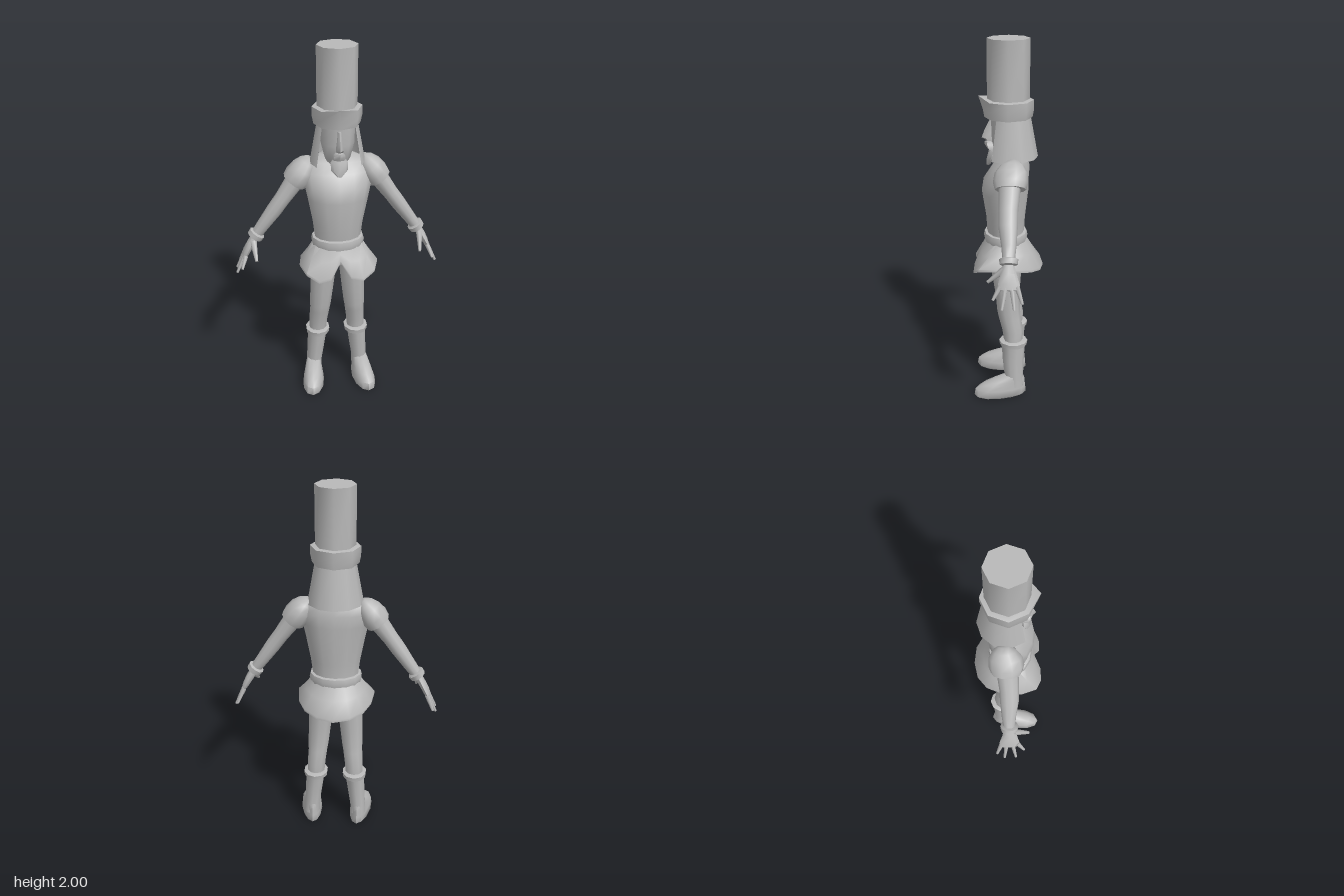
import * as THREE from 'three';
import { toCreasedNormals } from 'three/addons/utils/BufferGeometryUtils.js';

// Skin closed rings of [x, y, z] points, listed from bottom to top, with end caps
function skin(rings) {
  const n = rings[0].length, pos = rings.flat(2), idx = [];
  for (let r = 0; r < rings.length - 1; r++) {
    for (let i = 0; i < n; i++) {
      const a = r * n + i, b = r * n + (i + 1) % n;
      idx.push(a, b, b + n, a, b + n, a + n);
    }
  }
  [rings[0], rings[rings.length - 1]].forEach((ring, end) => {
    const c = pos.length / 3, base = end ? (rings.length - 1) * n : 0;
    for (let k = 0; k < 3; k++) pos.push(ring.reduce((s, p) => s + p[k], 0) / n);
    for (let i = 0; i < n; i++) {
      const a = base + i, b = base + (i + 1) % n;
      if (end) idx.push(c, a, b); else idx.push(c, b, a);
    }
  });
  const g = new THREE.BufferGeometry();
  g.setAttribute('position', new THREE.Float32BufferAttribute(pos, 3));
  g.setIndex(idx);
  return toCreasedNormals(g, 0.95);
}

// Elliptical rings [y, rx, rz, centreZ, centreX]; adjust may move single points
function loft(rings, n = 10, adjust = p => p) {
  return skin(rings.map(([y, rx, rz, cz = 0, cx = 0], r) =>
    Array.from({ length: n }, (_, i) => {
      const a = i / n * Math.PI * 2;
      return adjust([cx + Math.sin(a) * rx, y, cz + Math.cos(a) * rz], i, r);
    })));
}

export function createModel() {
  const model = new THREE.Group();
  model.name = 'guardsman';
  const clay = new THREE.MeshStandardMaterial({ color: 0xb8b8b8, side: THREE.DoubleSide });
  clay.name = 'light grey';

  const add = (name, geometry, parent = model) => {
    const m = new THREE.Mesh(geometry, clay);
    m.name = name;
    parent.add(m);
    return m;
  };
  // Tapered rod between two points
  const rod = (name, a, b, ra, rb, parent) => {
    const p = new THREE.Vector3(...a), q = new THREE.Vector3(...b), d = q.clone().sub(p);
    const m = add(name, new THREE.CylinderGeometry(rb, ra, d.length(), 6), parent);
    m.position.copy(p).add(q).multiplyScalar(0.5);
    m.quaternion.setFromUnitVectors(new THREE.Vector3(0, 1, 0), d.normalize());
  };

  // Tall hat with a peaked band
  add('hatCrown', loft([[1.62, 0.105, 0.11], [2, 0.105, 0.11]], 8));
  add('hatBand', loft([
    [1.6, 0.1, 0.1], [1.6, 0.122, 0.125], [1.64, 0.13, 0.132],
    [1.69, 0.13, 0.132], [1.695, 0.105, 0.108],
  ], 8, (p, i, r) => (i === 0 && r === 3 ? [0, 1.71, 0.155] : p)));

  // Head, face and hair
  add('head', loft([
    [1.35, 0.05, 0.05, -0.03], [1.39, 0.055, 0.065, -0.005], [1.42, 0.07, 0.085, 0],
    [1.5, 0.09, 0.092, 0], [1.62, 0.095, 0.092, 0],
  ]));
  add('nose', loft([
    [1.475, 0.02, 0.02, 0.095], [1.49, 0.02, 0.04, 0.1],
    [1.53, 0.014, 0.03, 0.095], [1.58, 0.01, 0.015, 0.085],
  ], 6));
  add('moustache', loft([
    [1.43, 0.036, 0.02, 0.09], [1.455, 0.034, 0.03, 0.095], [1.47, 0.018, 0.03, 0.095],
  ], 6));
  add('beard', loft([
    [1.343, 0.012, 0.01, 0.107], [1.375, 0.043, 0.02, 0.095],
    [1.415, 0.045, 0.025, 0.08], [1.435, 0.03, 0.02, 0.08],
  ], 8));
  const hair = new THREE.CylinderGeometry(0.105, 0.148, 0.23, 8, 1, true, 0.9, Math.PI * 2 - 1.8);
  add('hair', hair).position.set(0, 1.505, -0.008);

  // Jacket, waist and belt
  add('jacket', loft([
    [0.8, 0.1, 0.07], [0.86, 0.125, 0.09], [0.95, 0.125, 0.1, 0.015],
    [1.05, 0.137, 0.105, 0.015], [1.2, 0.165, 0.125, 0.018], [1.27, 0.18, 0.12, 0.012],
    [1.34, 0.19, 0.098, -0.015], [1.39, 0.165, 0.065, -0.03], [1.42, 0.09, 0.04, -0.045],
  ], 14));
  add('belt', loft([
    [0.915, 0.125, 0.1, 0.015], [0.92, 0.14, 0.115, 0.015], [0.945, 0.146, 0.12, 0.015],
    [0.967, 0.14, 0.115, 0.015], [0.972, 0.122, 0.1, 0.015],
  ], 14));

  // Flared skirt with a notch at the front; half the hem is given and mirrored
  const half = [
    [0, 0.86, 0.15], [0.055, 0.775, 0.185], [0.12, 0.76, 0.187], [0.185, 0.795, 0.155],
    [0.215, 0.81, 0.065], [0.2, 0.8, -0.045], [0.16, 0.785, -0.125],
    [0.09, 0.768, -0.175], [0, 0.757, -0.19],
  ];
  const hem = [...half, ...half.slice(1, -1).reverse().map(([x, y, z]) => [-x, y, z])];
  const waist = (y, k) => hem.map((_, i) => {
    const a = i / hem.length * Math.PI * 2;
    return [Math.sin(a) * 0.13 * k, y, 0.015 + Math.cos(a) * 0.105 * k];
  });
  const upper = waist(0.94, 1);
  const middle = hem.map((p, i) => p.map((v, k) => v * 0.47 + upper[i][k] * 0.53));
  const rim = hem.map(([x, y, z]) => [x, y + 0.014, z]);
  add('skirt', skin([waist(0.88, 0.9), hem, rim, middle, upper]));

  for (const s of [1, -1]) {
    const side = s > 0 ? 'left' : 'right';

    // Leg, boot and boot cuff
    const leg = new THREE.Group();
    leg.name = side + 'Leg';
    model.add(leg);
    const limb = (name, rings) =>
      add(name, loft(rings.map(([y, rx, rz, cz, cx]) => [y, rx, rz, cz, cx * s])), leg);
    limb(side + 'Trouser', [
      [0.32, 0.05, 0.05, -0.03, 0.112], [0.4, 0.053, 0.058, -0.027, 0.108],
      [0.48, 0.056, 0.062, -0.01, 0.1], [0.52, 0.06, 0.064, -0.004, 0.097],
      [0.62, 0.065, 0.066, 0.003, 0.09], [0.76, 0.071, 0.082, 0.01, 0.08],
      [0.87, 0.068, 0.085, 0.01, 0.072],
    ]);
    limb(side + 'BootCuff', [
      [0.308, 0.055, 0.06, -0.03, 0.112], [0.314, 0.067, 0.076, -0.03, 0.112],
      [0.34, 0.07, 0.08, -0.03, 0.112], [0.346, 0.053, 0.06, -0.03, 0.112],
    ]);
    limb(side + 'BootShaft', [
      [0.06, 0.046, 0.055, -0.036, 0.136], [0.12, 0.045, 0.053, -0.034, 0.134],
      [0.22, 0.05, 0.06, -0.03, 0.124], [0.32, 0.055, 0.066, -0.03, 0.115],
    ]);
    // Narrower at the heel than at the toe
    add(side + 'Foot', loft([
      [0, 0.055, 0.135, 0.047], [0.01, 0.064, 0.147, 0.045], [0.05, 0.06, 0.142, 0.042],
      [0.08, 0.054, 0.118, 0.022], [0.105, 0.049, 0.088, -0.006], [0.13, 0.042, 0.05, -0.035],
    ], 12, ([x, y, z]) => [s * 0.142 + x * (0.92 + z) + s * z * 0.12, y, z]), leg);

    // Arm built hanging straight down, then swung outwards
    const arm = new THREE.Group();
    arm.name = side + 'Arm';
    arm.position.set(0.2 * s, 1.32, -0.01);
    arm.rotation.z = 0.62 * s;
    model.add(arm);
    add(side + 'Sleeve', loft([
      [-0.42, 0.03, 0.03], [-0.34, 0.035, 0.038], [-0.24, 0.041, 0.049, 0.005],
      [-0.16, 0.042, 0.05, 0.005], [-0.05, 0.05, 0.056], [0.02, 0.055, 0.06],
    ]), arm);
    add(side + 'ShoulderPuff', loft([
      [-0.045, 0.05, 0.06, -0.005], [-0.048, 0.067, 0.08, -0.005], [-0.01, 0.072, 0.09, -0.005],
      [0.04, 0.064, 0.085, -0.008], [0.08, 0.046, 0.06, -0.012], [0.105, 0.02, 0.03, -0.015],
    ]), arm);
    add(side + 'WristCuff', loft([
      [-0.437, 0.03, 0.03], [-0.432, 0.043, 0.045], [-0.405, 0.045, 0.048], [-0.398, 0.028, 0.03],
    ]), arm);
    add(side + 'Palm', loft([
      [-0.56, 0.012, 0.05, -0.003, -0.014 * s], [-0.53, 0.018, 0.054, -0.002, -0.01 * s],
      [-0.48, 0.022, 0.04, 0, -0.004 * s], [-0.42, 0.022, 0.025],
    ], 8), arm);
    // Spread fingers: [root z, tip z, tip length]
    [[-0.042, -0.07, 0.625], [-0.016, -0.03, 0.655], [0.014, 0.032, 0.655], [0.04, 0.077, 0.605]]
      .forEach(([z0, z1, t], i) => rod(side + 'Finger' + (i + 1),
        [-0.012 * s, -0.54, z0], [-0.03 * s, -t, z1], 0.014, 0.007, arm));
    rod(side + 'Thumb', [-0.006 * s, -0.455, 0.02], [-0.06 * s, -0.51, 0.105], 0.019, 0.008, arm);
  }
  return model;
}
